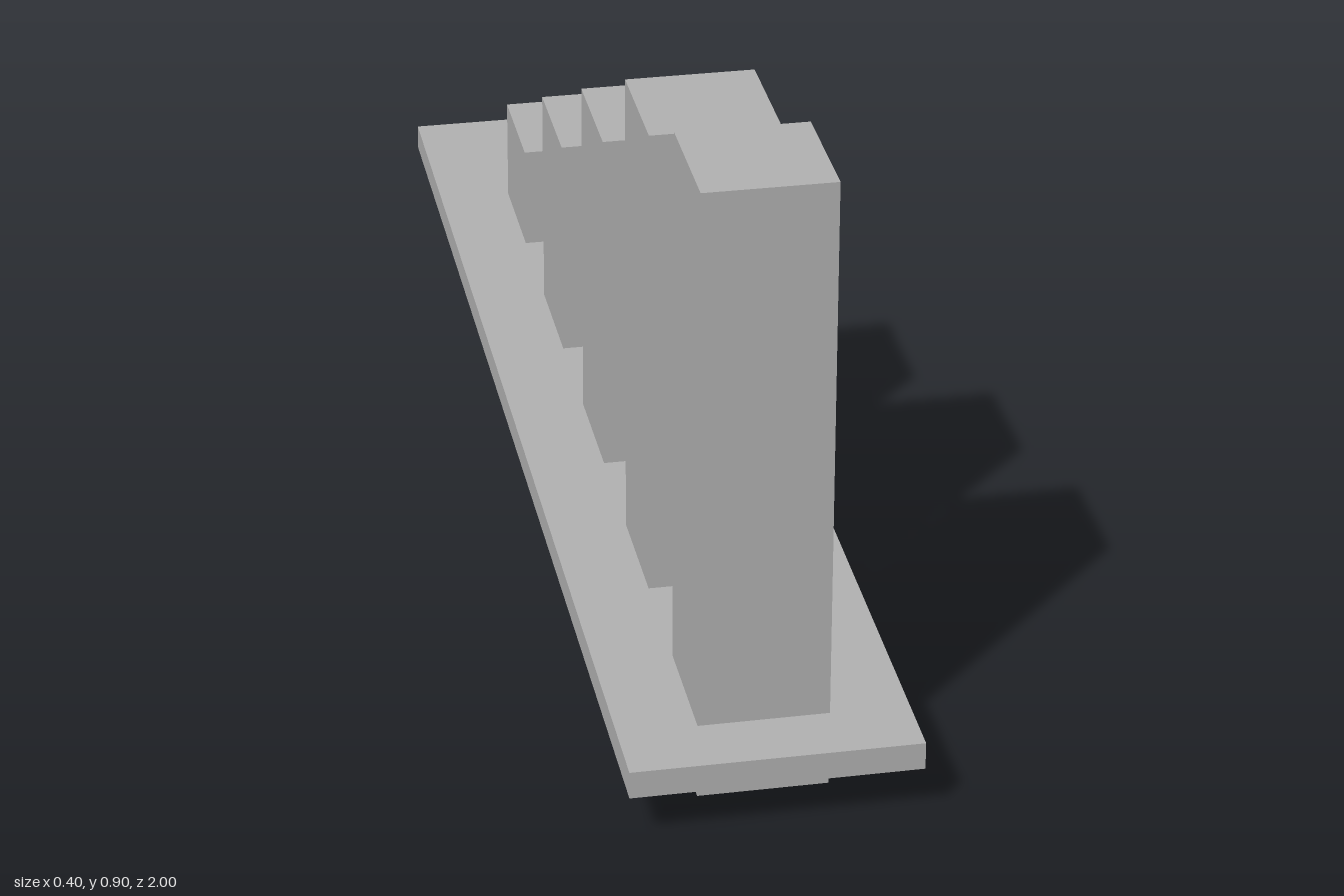
import * as THREE from 'three';

export function createModel() {
  const group = new THREE.Group();
  const grey = new THREE.MeshStandardMaterial({ color: 0xb2b2b2 });
  grey.name = 'grey';

  // Box spanning bottom..top, centred on x = 0
  function addBox(name, width, depth, bottom, top, z) {
    const mesh = new THREE.Mesh(new THREE.BoxGeometry(width, top - bottom, depth), grey);
    mesh.name = name;
    mesh.position.set(0, (bottom + top) / 2, z);
    group.add(mesh);
  }

  // Long thin base plate
  addBox('basePlate', 0.4, 2, 0.071, 0.111, 0);

  // Row of square pillars stepping down to the back; the front one passes through the plate
  const unit = 0.1808;
  const tops = [5, 4.5, 3.5, 2.5, 1.5];
  tops.forEach((top, i) => {
    const bottom = i === 0 ? 0 : unit / 2;
    addBox(`pillar${i + 1}`, unit, unit, bottom, top * unit, (4.5 - 2 * i) * unit);
  });

  return group;
}
